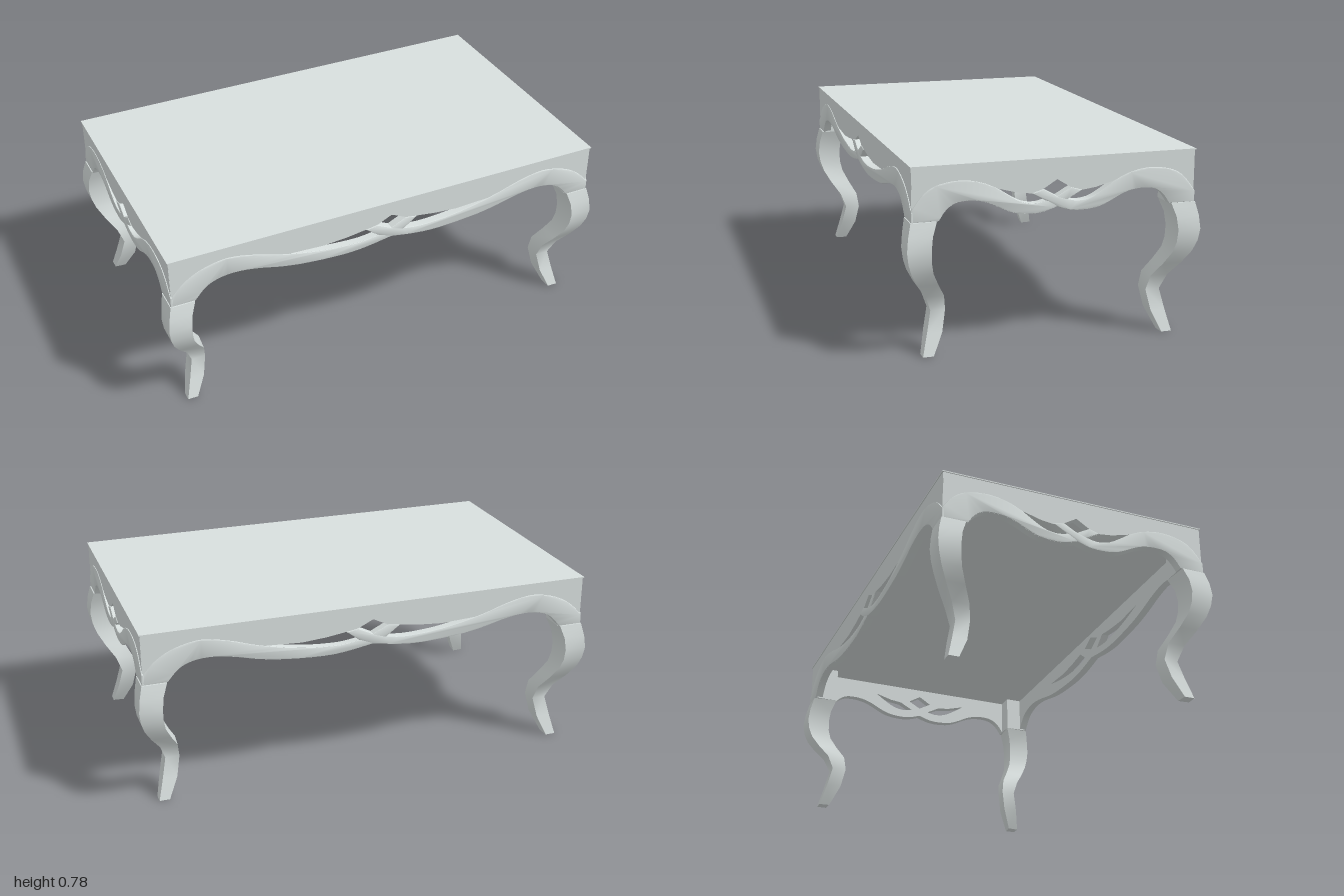
import * as THREE from 'three';
import { toCreasedNormals } from 'three/addons/utils/BufferGeometryUtils.js';

const HX = 0.975, HZ = 0.583, TOP = 0.776, JOINT = 0.56, UNDER = 0.727;
const paint = new THREE.MeshStandardMaterial({ color: 0xd8dfde });
paint.name = 'pale grey paint';

const vecs = (list) => list.map(([x, y]) => new THREE.Vector2(x, y));
const smooth = (list, n = 28) => new THREE.SplineCurve(vecs(list)).getPoints(n);
const flip = (pts) => pts.map((p) => new THREE.Vector2(-p.x, p.y));

function add(parent, geometry, name, crease = 0.6) {
  const mesh = new THREE.Mesh(crease ? toCreasedNormals(geometry, crease) : geometry, paint);
  mesh.name = name;
  parent.add(mesh);
  return mesh;
}

// Half profiles, listed from the corner towards the middle
const longSide = {
  half: HX, out: HZ,
  bottom: [[0.87, 0.56], [0.824, 0.61], [0.77, 0.635], [0.695, 0.643], [0.604, 0.631], [0.497, 0.605],
    [0.39, 0.588], [0.23, 0.577], [0.123, 0.582], [0, 0.602]],
  crest: [[0.975, 0.6], [0.925, 0.652], [0.855, 0.695], [0.765, 0.72], [0.695, 0.72], [0.604, 0.7],
    [0.524, 0.674], [0.465, 0.658]],
  holeLow: [[0.465, 0.658], [0.364, 0.636], [0.257, 0.621], [0.14, 0.616], [0.06, 0.626]],
  holeUp: [[0.06, 0.626], [0.118, 0.67], [0.203, 0.658], [0.31, 0.65], [0.465, 0.658]],
  diamond: [[0, 0.71], [0.067, 0.678], [0, 0.645], [-0.067, 0.678]],
};
const shortSide = {
  half: HZ, out: HX,
  bottom: [[0.473, 0.56], [0.447, 0.598], [0.41, 0.624], [0.363, 0.631], [0.31, 0.626], [0.263, 0.61],
    [0.214, 0.585], [0.165, 0.567], [0.1, 0.561], [0.05, 0.566], [0, 0.582]],
  crest: [[0.583, 0.605], [0.538, 0.663], [0.49, 0.695], [0.425, 0.71], [0.36, 0.71], [0.295, 0.695], [0.24, 0.67]],
  holeLow: [[0.24, 0.67], [0.18, 0.63], [0.133, 0.607], [0.085, 0.601], [0.045, 0.609]],
  holeUp: [[0.045, 0.609], [0.104, 0.641], [0.16, 0.648], [0.24, 0.67]],
  diamond: [[0, 0.69], [0.057, 0.655], [0, 0.623], [-0.057, 0.655]],
};

// One pierced apron side facing +z, with two raised crossing ribbons
function makeApron(s, name) {
  const group = new THREE.Group();
  group.name = name;
  const bottom = smooth(s.bottom), low = smooth(s.holeLow, 12), up = vecs(s.holeUp);
  const h = s.half - 0.005;

  const panel = new THREE.Shape([
    ...vecs([[-h, TOP - 0.004], [-h, JOINT]]), ...flip(bottom),
    ...bottom.slice(0, -1).reverse(), ...vecs([[h, JOINT], [h, TOP - 0.004]]),
  ]);
  const hole = [...low, ...up.slice(1, -1)];
  for (const pts of [hole, flip(hole), vecs(s.diamond)]) panel.holes.push(new THREE.Path(pts));
  add(group, new THREE.ExtrudeGeometry(panel, { depth: 0.033, bevelEnabled: false }), 'apronPanel')
    .position.z = s.out - 0.037;

  // Ribbon sweeps from its corner, under the opening, past the middle to a short tail
  const tail = flip(up.slice(0, 2));
  const [, , dLow, dSide] = vecs(s.diamond);
  const ribbon = [new THREE.Vector2(s.half, JOINT), ...bottom, ...tail, dSide, dLow,
    ...low.slice().reverse(), ...smooth(s.crest, 20).reverse().slice(1)];
  [ribbon, flip(ribbon)].forEach((pts, i) => {
    const geo = new THREE.ExtrudeGeometry(new THREE.Shape(pts), {
      depth: 0.003, bevelThickness: 0.004, bevelSize: 0.004, bevelOffset: -0.004, bevelSegments: 2,
    });
    add(group, geo, i ? 'leftRibbon' : 'rightRibbon').position.z = s.out - 0.007 - i * 0.0007;
  });
  return group;
}

// Leg levels from the foot up: height, inner and outer offset (measured along z)
const LEG = [[0, 0.48, 0.528], [0.09, 0.438, 0.505], [0.175, 0.421, 0.486], [0.24, 0.43, 0.51], [0.3, 0.463, 0.551],
  [0.355, 0.489, 0.582], [0.4, 0.498, 0.597], [0.45, 0.5, 0.604], [0.505, 0.493, 0.598], [JOINT, 0.473, 0.585]];

// Four-sided cabriole leg, slightly narrower on its outer faces
function legGeometry(sx, sz) {
  const pos = [], index = [], n = 4;
  for (const [y, inner, outer] of LEG) {
    const w = outer - inner, c = w * 0.08;
    for (const [u, v] of [[w, w], [w, c], [0, 0], [c, w]]) {
      pos.push(sx * (inner + u + HX - HZ), y, sz * (inner + v));
    }
  }
  const tri = (a, b, c) => (sx * sz > 0 ? index.push(a, b, c) : index.push(a, c, b));
  const last = (LEG.length - 1) * n;
  for (let r = 0; r < last; r += n) {
    for (let j = 0; j < n; j++) {
      const k = (j + 1) % n;
      tri(r + j, r + k, r + n + k);
      tri(r + j, r + n + k, r + n + j);
    }
  }
  for (let j = 1; j < n - 1; j++) {
    tri(0, j + 1, j);
    tri(last, last + j, last + j + 1);
  }
  const geo = new THREE.BufferGeometry();
  geo.setAttribute('position', new THREE.Float32BufferAttribute(pos, 3));
  geo.setIndex(index);
  return geo;
}

export function createModel() {
  const table = new THREE.Group();
  table.name = 'coffeeTable';

  // Flat top with a hairline lip, and its core set between the aprons
  add(table, new THREE.BoxGeometry(HX * 2, 0.005, HZ * 2), 'tableTop', 0).position.y = TOP - 0.0025;
  add(table, new THREE.BoxGeometry(HX * 2 - 0.04, TOP - 0.003 - UNDER, HZ * 2 - 0.04), 'topCore', 0)
    .position.y = (TOP - 0.003 + UNDER) / 2;

  // Four apron sides
  [[longSide, 'frontApron'], [shortSide, 'leftApron'], [longSide, 'backApron'], [shortSide, 'rightApron']]
    .forEach(([side, name], i) => {
      const apron = makeApron(side, name);
      apron.rotation.y = i * Math.PI / 2;
      table.add(apron);
    });

  // Legs, each with a square post continuing up inside the corner
  for (const sx of [1, -1]) {
    for (const sz of [1, -1]) {
      const corner = (sz > 0 ? 'front' : 'back') + (sx > 0 ? 'Left' : 'Right');
      add(table, legGeometry(sx, sz), corner + 'Leg');
      const post = add(table, new THREE.BoxGeometry(0.1, UNDER - JOINT, 0.1), corner + 'Post', 0);
      post.position.set(sx * (HX - 0.06), (UNDER + JOINT) / 2, sz * (HZ - 0.06));
    }
  }
  return table;
}
